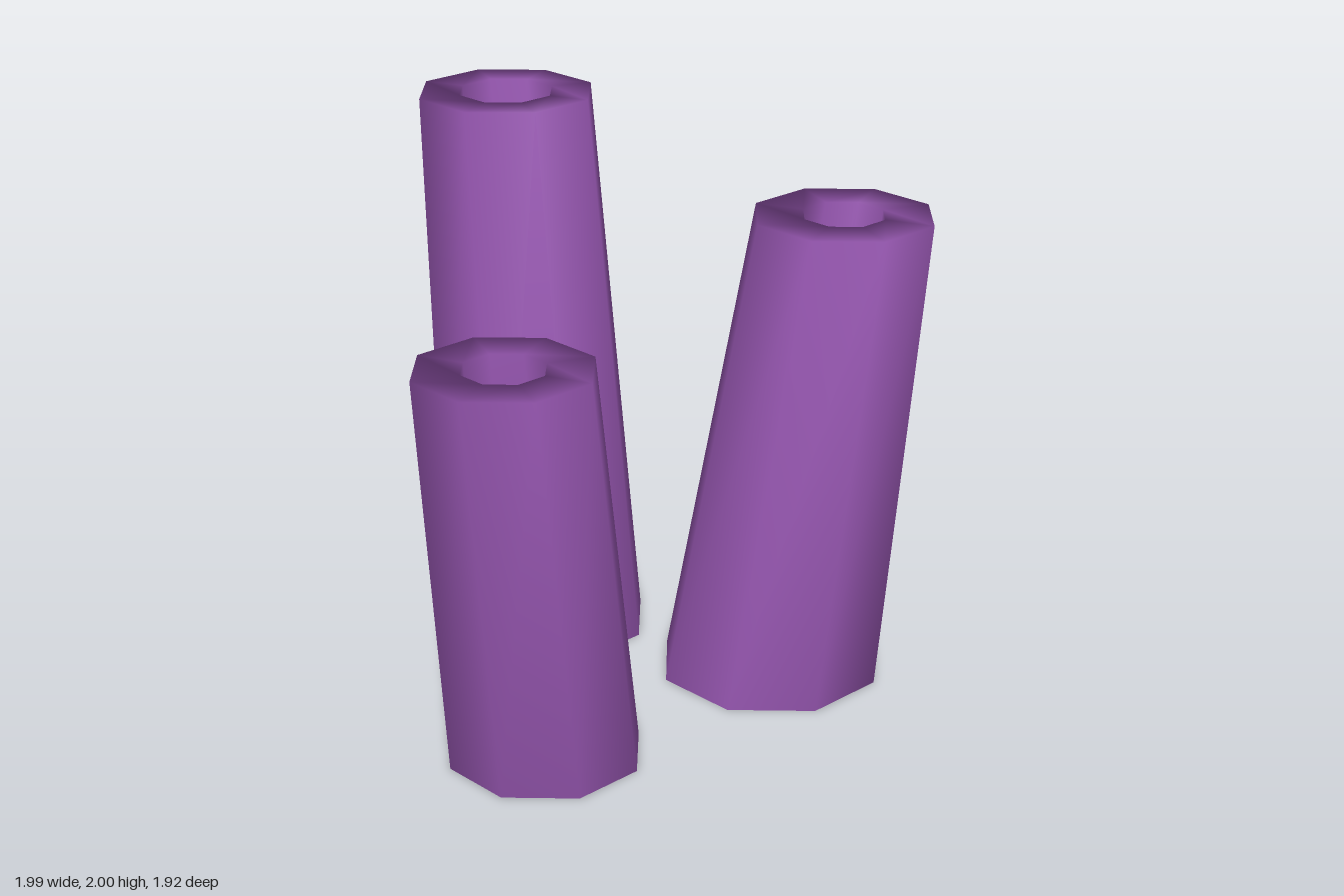
import * as THREE from 'three';

const SIDES = 8;

// Leaning, tapered pipe with a through hole: four rings joined in a closed loop.
function pipeGeometry({ base, top, height, rBase, rTop, bore }) {
  const rings = [
    [base, 0, rBase],            // outer foot
    [top, height, rTop],         // outer rim
    [top, height, rTop * bore],  // inner rim
    [base, 0, rBase * bore],     // inner foot
  ];
  const positions = [], index = [];
  rings.forEach(([[cx, cz], y, r], i) => {
    const next = (i + 1) % rings.length;
    for (let j = 0; j < SIDES; j++) {
      const a = (j / SIDES) * Math.PI * 2, k = (j + 1) % SIDES;
      positions.push(cx + r * Math.cos(a), y, cz + r * Math.sin(a));
      const p = i * SIDES + j, q = i * SIDES + k;
      const u = next * SIDES + j, v = next * SIDES + k;
      index.push(p, u, q, u, v, q);
    }
  });
  const geometry = new THREE.BufferGeometry();
  geometry.setAttribute('position', new THREE.Float32BufferAttribute(positions, 3));
  geometry.setIndex(index);
  geometry.computeVertexNormals(); // shared vertices keep the rims softly shaded
  return geometry;
}

export function createModel() {
  const group = new THREE.Group();
  group.name = 'tubeCluster';
  const material = new THREE.MeshStandardMaterial({ color: 0x9b59b6 });

  // Centres are [x, z]; bore is the hole radius as a share of the outer radius
  const tubes = {
    tallTube: { base: [-0.18, -0.45], top: [-0.24, -0.64], height: 2, rBase: 0.38, rTop: 0.32, bore: 0.54 },
    middleTube: { base: [0.455, 0.185], top: [0.67, 0.25], height: 1.7, rBase: 0.403, rTop: 0.322, bore: 0.46 },
    shortTube: { base: [-0.52, 0.51], top: [-0.69, 0.655], height: 1.47, rBase: 0.34, rTop: 0.306, bore: 0.47 },
  };
  for (const [name, spec] of Object.entries(tubes)) {
    const mesh = new THREE.Mesh(pipeGeometry(spec), material);
    mesh.name = name;
    group.add(mesh);
  }
  return group;
}
